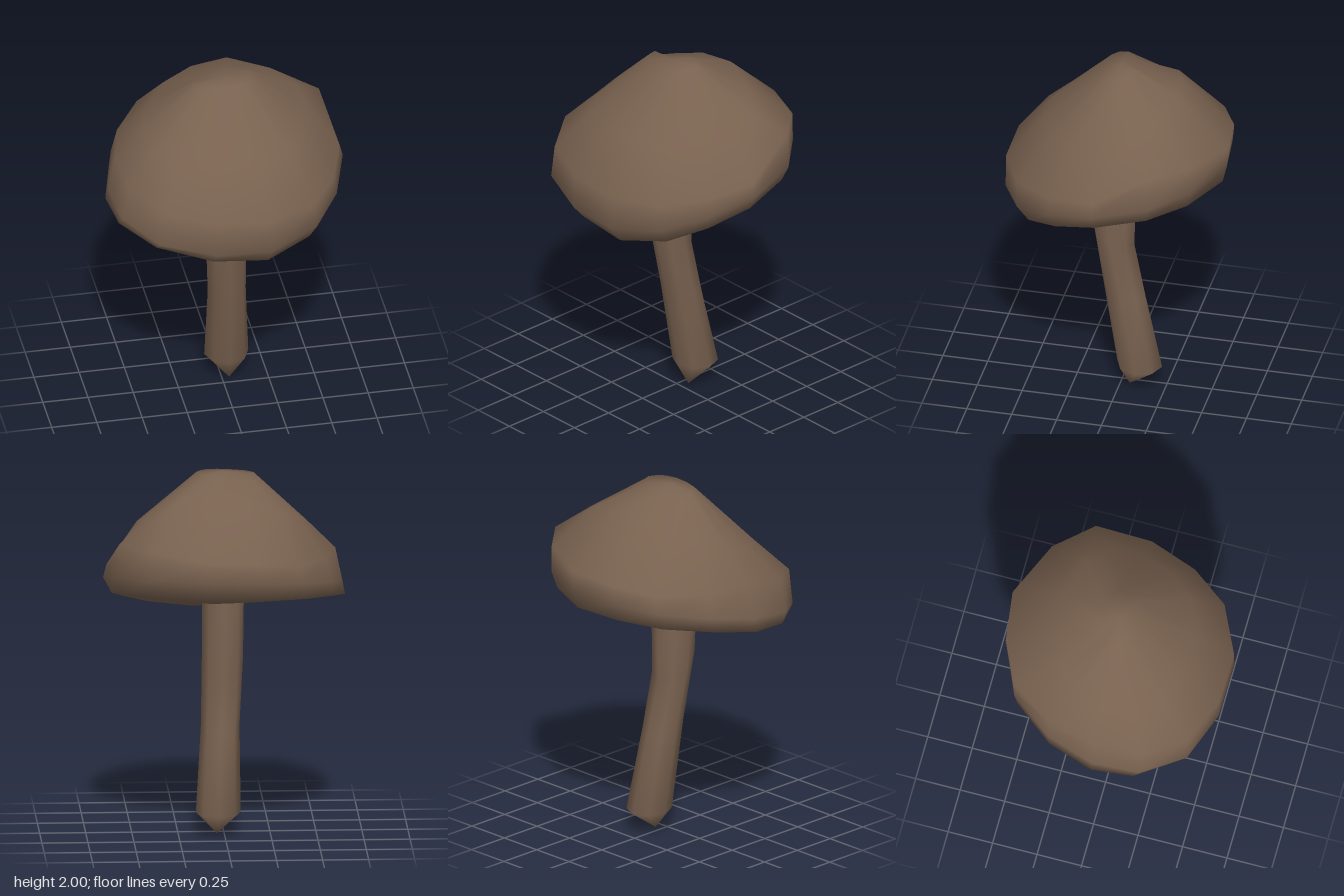
import * as THREE from 'three';

// Skins closed rings (listed top to bottom) and caps both ends with a single point.
function loft(rings, top, bottom, material, name) {
  const n = rings[0].length;
  const points = [top, ...rings.flat(), bottom];
  const last = points.length - 1;
  const index = [];
  const at = (i, j) => 1 + i * n + (j % n);
  for (let j = 0; j < n; j++) {
    index.push(0, at(0, j + 1), at(0, j));
    for (let i = 0; i < rings.length - 1; i++) {
      const a = at(i, j), b = at(i, j + 1), c = at(i + 1, j), d = at(i + 1, j + 1);
      index.push(a, b, d, a, d, c);
    }
    index.push(last, at(rings.length - 1, j), at(rings.length - 1, j + 1));
  }
  const geometry = new THREE.BufferGeometry();
  geometry.setAttribute('position', new THREE.Float32BufferAttribute(points.flat(), 3));
  geometry.setIndex(index);
  geometry.computeVertexNormals();
  const mesh = new THREE.Mesh(geometry, material);
  mesh.name = name;
  return mesh;
}

// Irregular rim of the cap seen from above, as x, z
const outline = [
  [-0.18, -0.585], [0.11, -0.62], [0.42, -0.48], [0.6, -0.28], [0.655, 0.02],
  [0.57, 0.285], [0.42, 0.49], [0.15, 0.615], [-0.16, 0.61], [-0.46, 0.51],
  [-0.63, 0.29], [-0.66, 0.03], [-0.59, -0.24], [-0.42, -0.48],
];

// Scales the rim separately towards left, right, front and back; height follows a rule
function capRing(left, right, front, back, height) {
  return outline.map(([x, z]) => [
    x * (x > 0 ? left : right),
    height(x, z),
    z * (z > 0 ? front : back),
  ]);
}

// Uneven quarters of the cap
const pos = (v) => Math.max(0, v);
const backLeft = (x, z) => pos(x) ** 3 * pos(-z);
const backRight = (x, z) => pos(-x) * pos(-z);
const frontRight = (x, z) => pos(-x) * pos(z);

// Tilted stem section
function stemRing(y, x, z, rx, rz, tilt = 0) {
  return Array.from({ length: 8 }, (_, i) => {
    const t = (i / 8) * Math.PI * 2;
    return [x + rx * Math.cos(t), y + tilt * Math.sin(t), z + rz * Math.sin(t)];
  });
}

export function createModel() {
  const brown = new THREE.MeshStandardMaterial({ color: 0x78614f });
  brown.name = 'mushroom brown';

  const model = new THREE.Group();
  model.name = 'mushroom';

  // Cap: crown, shoulder, widest ring, rolled rim, then the hollow underside
  const cap = loft([
    capRing(0.23, 0.26, 0.17, 0.13, (x, z) => 1.99 + 0.01 * x - 0.2 * backRight(x, z)),
    capRing(0.72, 0.68, 0.67, 0.52, (x, z) => 1.79 - 0.18 * z - 0.14 * x * x - 0.1 * backRight(x, z)),
    capRing(0.97, 0.92, 1, 1, (x, z) => 1.53 - 0.06 * x - 0.16 * z + 2 * backLeft(x, z) - 0.3 * backRight(x, z)),
    capRing(1, 0.98, 1, 0.98, (x, z) => 1.4 + 0.03 * x - 0.22 * z - 0.09 * z * z + 0.15 * frontRight(x, z)),
    capRing(0.93, 1, 0.88, 0.94, (x, z) => 1.32 + 0.02 * x - 0.22 * z - 0.14 * z * z + 0.3 * frontRight(x, z)),
    capRing(0.72, 0.72, 0.68, 0.6, (x, z) => 1.33 - 0.08 * z - 0.09 * z * z),
    capRing(0.42, 0.42, 0.42, 0.38, (x, z) => 1.43 - 0.04 * z),
  ], [-0.01, 2, 0.01], [0, 1.45, 0.05], brown, 'cap');

  // Stem: bent, with a pointed foot
  const stem = loft([
    stemRing(1.5, 0, 0.055, 0.115, 0.14),
    stemRing(0.95, 0.005, 0.05, 0.112, 0.118, 0.08),
    stemRing(0.6, 0.02, -0.015, 0.105, 0.118, 0.04),
    stemRing(0.13, 0.035, -0.105, 0.122, 0.125, 0.005),
  ], [0, 1.55, 0.055], [0.04, 0, -0.05], brown, 'stem');

  model.add(cap, stem);
  return model;
}
